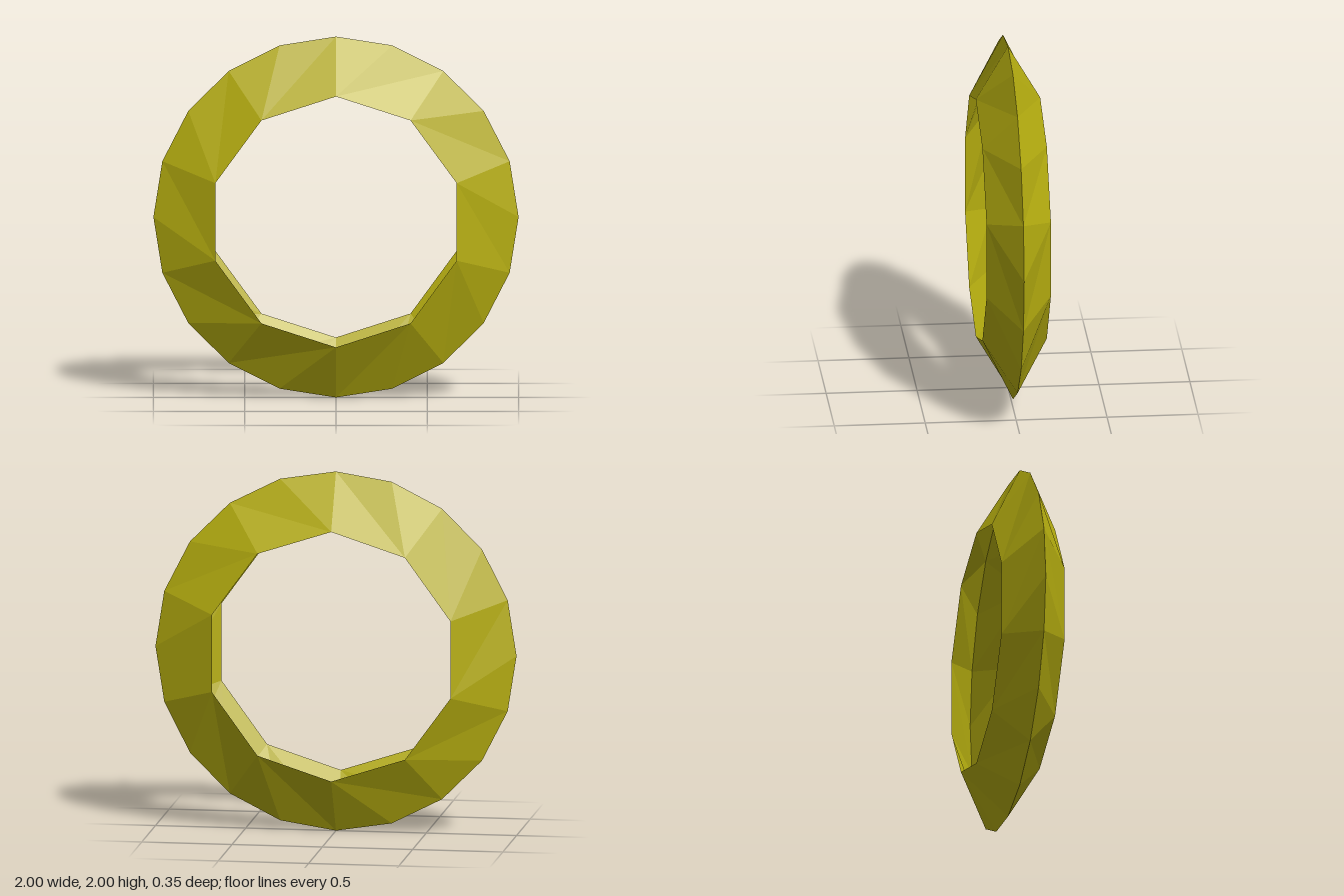
import * as THREE from 'three';

const SIDES = 10;            // sides of the inner opening; the rim has twice as many
const OUTER = 1, INNER = 0.695, HALF = 0.177;

// Point on a circle around the ring centre, counted clockwise from the top in 18 degree steps
function point(step, radius, z) {
  const a = Math.PI / 2 - (step * Math.PI) / SIDES;
  return [radius * Math.cos(a), 1 + radius * Math.sin(a), z];
}

// Slanted face from the sharp rim to the opening; each inner corner fans clockwise to three rim corners
function bevel(name, side, material) {
  const positions = [];
  const tri = (a, b, c) => positions.push(...a, ...(side > 0 ? [...b, ...c] : [...c, ...b]));
  for (let s = 0; s < 2 * SIDES; s += 2) {
    const inA = point(s, INNER, side * HALF), inB = point(s + 2, INNER, side * HALF);
    const rimA = point(s, OUTER, 0), rimB = point(s + 1, OUTER, 0), rimC = point(s + 2, OUTER, 0);
    tri(inA, rimB, rimA);
    tri(inA, rimC, rimB);
    tri(inA, inB, rimC);
  }
  const geometry = new THREE.BufferGeometry();
  geometry.setAttribute('position', new THREE.Float32BufferAttribute(positions, 3));
  geometry.computeVertexNormals(); // unshared corners give faceted normals
  const mesh = new THREE.Mesh(geometry, material);
  mesh.name = name;
  return mesh;
}

export function createModel() {
  // The ring is a hollow channel, open towards the centre, so both sides show
  const gold = new THREE.MeshStandardMaterial({ color: 0xb8b010, side: THREE.DoubleSide });
  gold.name = 'olive gold';
  const ring = new THREE.Group();
  ring.name = 'ring';
  ring.add(bevel('frontBevel', 1, gold), bevel('backBevel', -1, gold));
  return ring;
}
